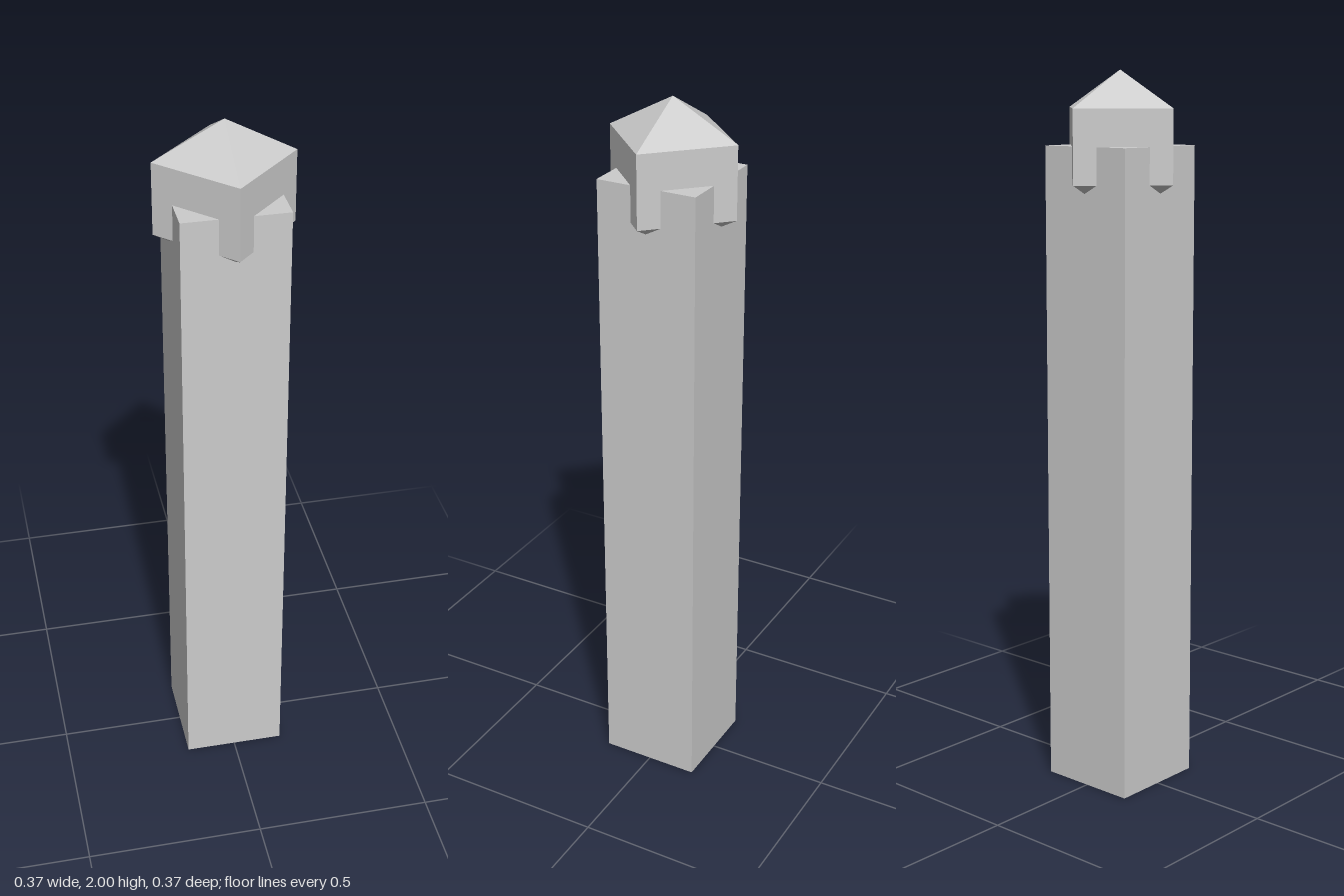
import * as THREE from 'three';

export function createModel() {
  const model = new THREE.Group();
  model.name = 'pillar';
  const stone = new THREE.MeshStandardMaterial({ color: 0xcccccc });
  stone.name = 'stone grey';

  // Square shaft
  const height = 1.8, width = 0.286;
  const shaft = new THREE.Mesh(new THREE.BoxGeometry(width, height, width), stone);
  shaft.name = 'shaft';
  shaft.position.y = height / 2;
  model.add(shaft);

  // Four-sided cap turned 45 degrees, pointed above and below; the shaft's corners poke through it
  const profile = [[0, 1.6], [0.187, 1.7], [0.187, 1.9], [0, 2]]
    .map(([r, y]) => new THREE.Vector2(r, y));
  const capGeometry = new THREE.LatheGeometry(profile, 4).toNonIndexed();
  capGeometry.computeVertexNormals(); // flat facets
  const cap = new THREE.Mesh(capGeometry, stone);
  cap.name = 'cap';
  model.add(cap);

  return model;
}
